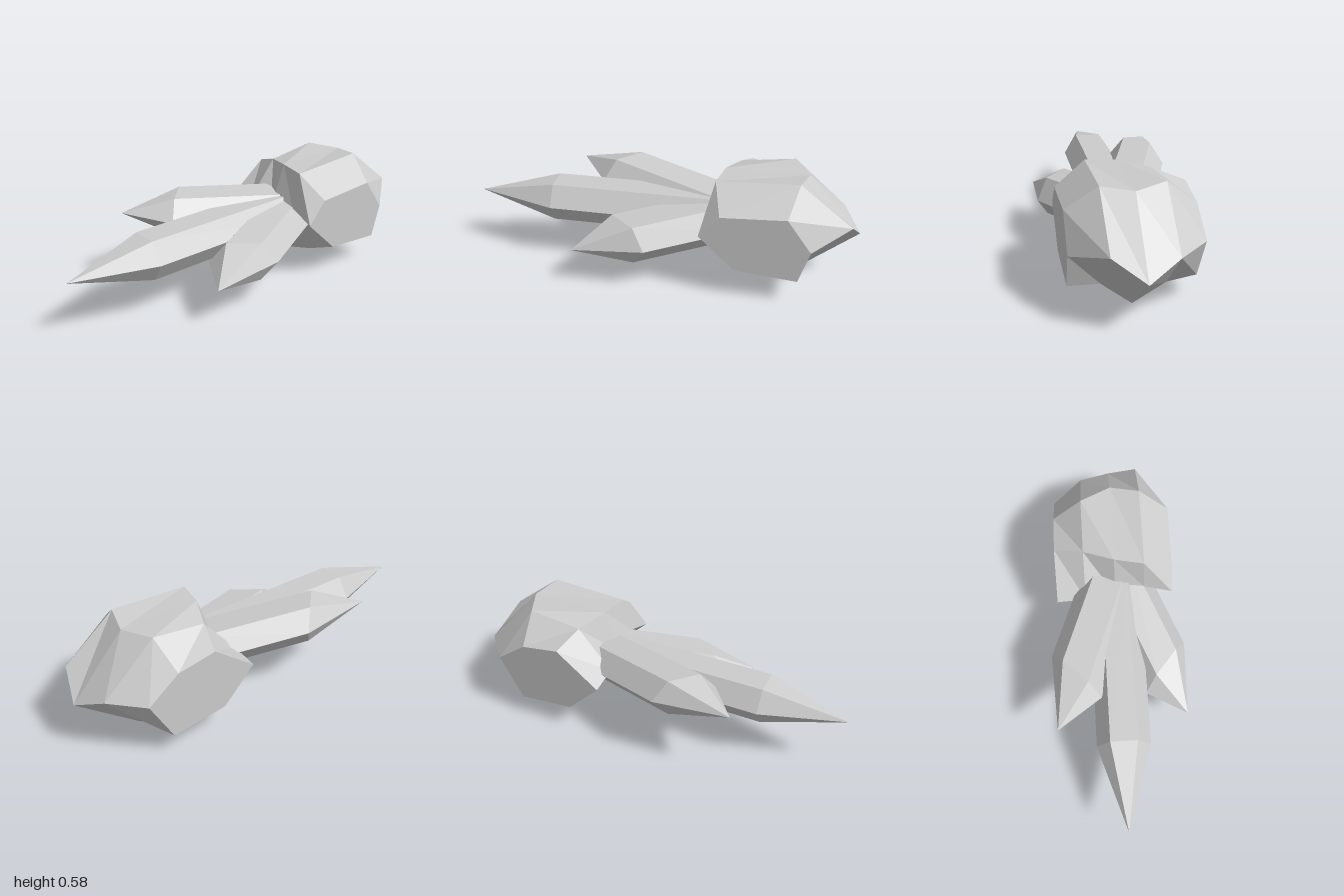
import * as THREE from 'three';

const V = (x, y, z) => new THREE.Vector3(x, y, z);

// Skin a row of equal rings and close both ends with a fan to a point.
function loft(start, rings, end) {
  const pts = [];
  const n = rings[0].length;
  for (let i = 0; i < n; i++) {
    const j = (i + 1) % n;
    pts.push(start, rings[0][j], rings[0][i]);
    for (let r = 0; r < rings.length - 1; r++) {
      const a = rings[r], b = rings[r + 1];
      pts.push(a[i], a[j], b[j], a[i], b[j], b[i]);
    }
    const last = rings[rings.length - 1];
    pts.push(last[i], last[j], end);
  }
  const geometry = new THREE.BufferGeometry().setFromPoints(pts);
  geometry.computeVertexNormals();
  return geometry;
}

// Six-sided column with a pointed tip; u is half its width, h half its height.
function crystalGeometry(tip, shoulder, u, h) {
  const base = shoulder.clone().addScaledVector(tip.clone().sub(shoulder), -2);
  const corners = [[1, 0], [0.5, 1], [-0.5, 1], [-1, 0], [-0.5, -1], [0.5, -1]];
  const ring = (c) => corners.map(([a, b]) =>
    c.clone().addScaledVector(u, a).add(V(0, b * h, 0)));
  return loft(base, [ring(base), ring(shoulder)], tip);
}

// Boulder slices across x; each corner is [z, y]:
// upper back, upper front, front, lower front, lower back, back.
const SLICES = [
  [-0.31, [[-0.62, 0.447], [-0.42, 0.48], [-0.2, 0.31], [-0.37, 0.138], [-0.66, 0.107], [-0.78, 0.33]]],
  [-0.16, [[-0.65, 0.57], [-0.375, 0.535], [-0.2, 0.33], [-0.37, 0.1], [-0.69, 0.1], [-0.92, 0.33]]],
  [-0.005, [[-0.725, 0.562], [-0.31, 0.562], [-0.22, 0.33], [-0.37, 0.057], [-0.68, 0], [-1, 0.26]]],
  [0.145, [[-0.685, 0.58], [-0.28, 0.56], [-0.235, 0.383], [-0.38, 0.1], [-0.71, 0.13], [-0.95, 0.37]]],
  [0.295, [[-0.64, 0.465], [-0.32, 0.447], [-0.22, 0.333], [-0.4, 0.16], [-0.71, 0.132], [-0.76, 0.3]]],
];

export function createModel() {
  const group = new THREE.Group();
  group.name = 'crystalRock';
  const stone = new THREE.MeshStandardMaterial({ color: 0xcccccc });
  stone.name = 'pale grey stone';
  stone.flatShading = true;

  const add = (name, geometry) => {
    const mesh = new THREE.Mesh(geometry, stone);
    mesh.name = name;
    group.add(mesh);
  };

  // Boulder at the back
  const rings = SLICES.map(([x, corners]) => corners.map(([z, y]) => V(x, y, z)));
  add('boulder', loft(V(-0.31, 0.3, -0.5), rings, V(0.295, 0.3, -0.5)));

  // Three crystals fanning out towards the front
  add('middleCrystal', crystalGeometry(V(-0.006, 0.309, 1), V(-0.006, 0.309, 0.58), V(0.134, 0, 0), 0.102));
  add('rightCrystal', crystalGeometry(V(-0.322, 0.405, 0.51), V(-0.223, 0.375, 0.235), V(0.12, 0, 0.115), 0.1));
  add('leftCrystal', crystalGeometry(V(0.335, 0.203, 0.41), V(0.234, 0.237, 0.17), V(0.109, 0, -0.13), 0.1));

  return group;
}
